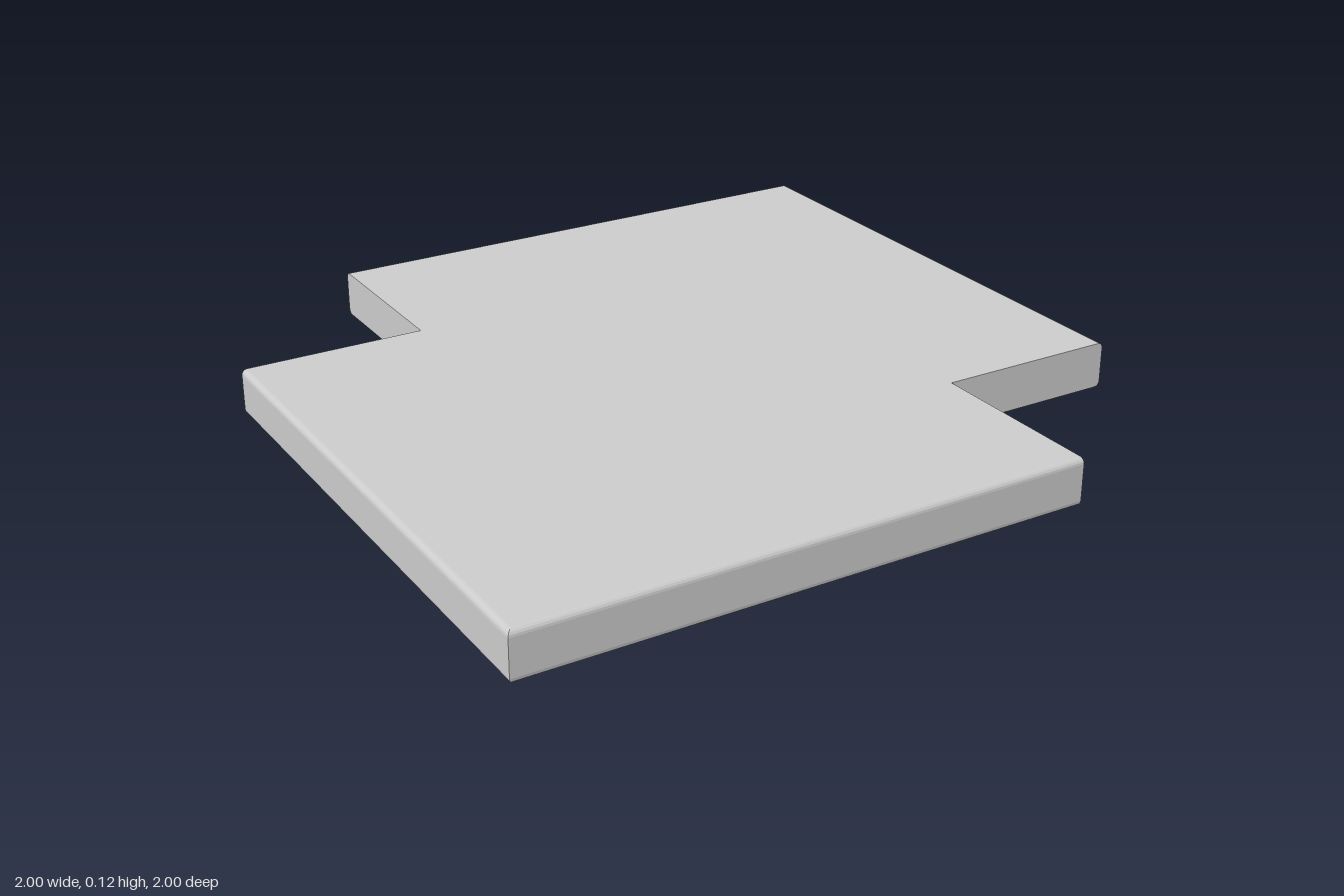
import * as THREE from 'three';

const THICKNESS = 0.125;
const RADIUS = 0.015; // rounding of the outer edges
const ARC = 4; // segments per rounded edge

export function createModel() {
  const group = new THREE.Group();
  group.name = 'notchedSlab';

  // Square with two opposite corners cut out
  const outline = [
    [-1, -1], [0.5, -1], [0.5, -0.5], [1, -0.5],
    [1, 1], [-0.5, 1], [-0.5, 0.5], [-1, 0.5],
  ].map(([x, y]) => new THREE.Vector2(x, y));

  // Edge profile: height and inset of each layer, bottom to top
  const layers = [];
  for (let i = 0; i <= ARC; i++) {
    const a = (i / ARC) * Math.PI / 2;
    layers.push([RADIUS * (1 - Math.cos(a)), RADIUS * (1 - Math.sin(a))]);
  }
  const top = layers.map(([h, inset]) => [THICKNESS - h, inset]).reverse();
  layers.push(...top);

  const steps = layers.length - 1;
  const geometry = new THREE.ExtrudeGeometry(new THREE.Shape(outline), {
    depth: steps, steps, bevelEnabled: false,
  });

  // Round only the outer edges; the notch walls stay square
  const pos = geometry.attributes.position;
  const pull = (v, inset) => (Math.abs(v) > 0.99 ? Math.sign(v) * (1 - inset) : v);
  for (let i = 0; i < pos.count; i++) {
    const [height, inset] = layers[Math.round(pos.getZ(i))];
    pos.setXYZ(i, pull(pos.getX(i), inset), pull(pos.getY(i), inset), height);
  }
  geometry.rotateX(-Math.PI / 2);
  geometry.computeVertexNormals();

  const slab = new THREE.Mesh(
    geometry,
    new THREE.MeshStandardMaterial({ color: 0xcccccc, flatShading: true }),
  );
  slab.name = 'slab';
  group.add(slab);
  return group;
}
